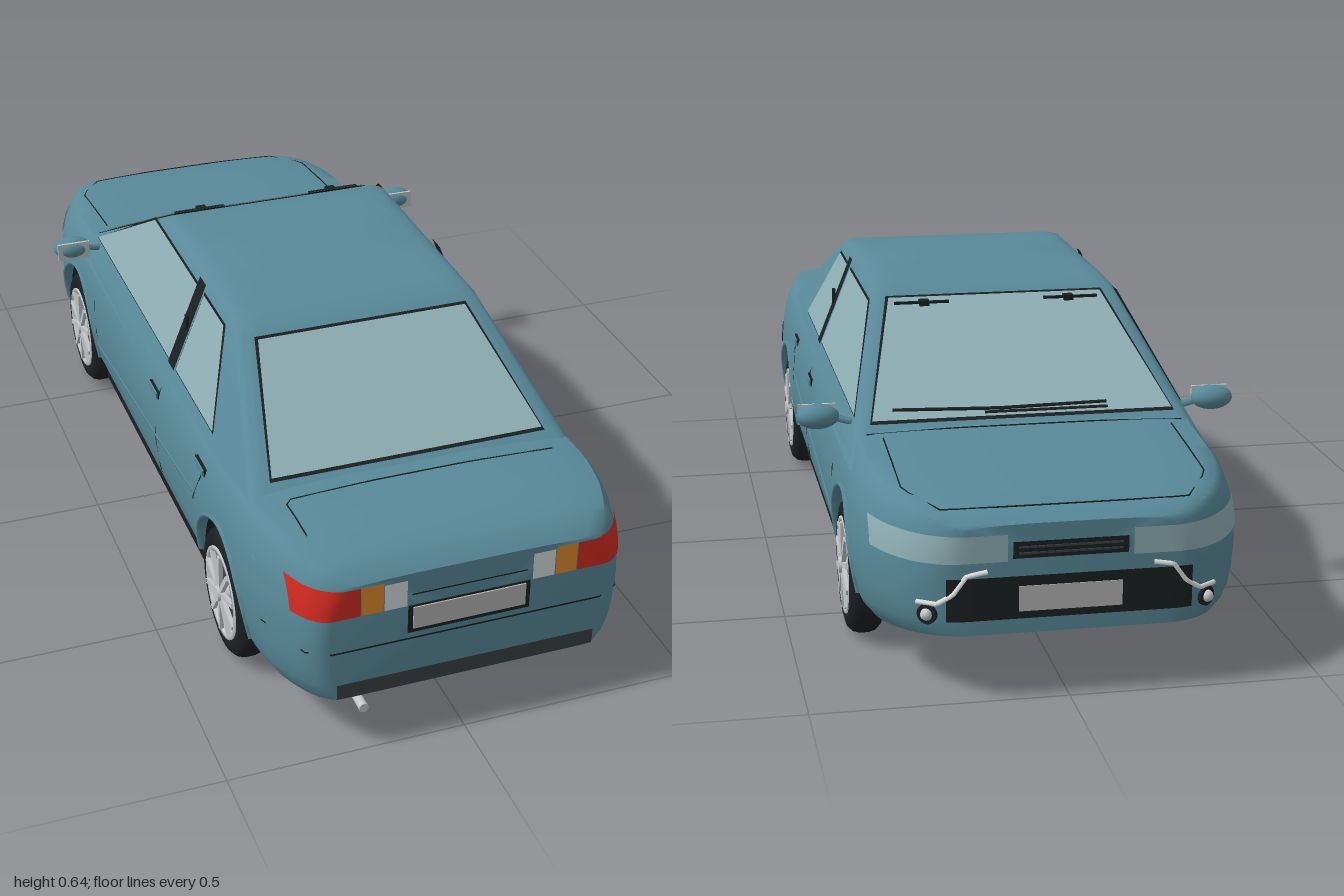
import * as THREE from 'three';
import { toCreasedNormals } from 'three/addons/utils/BufferGeometryUtils.js';

const PAINT = 0x588999, GLASS = 0x8fb0b5, BLACK = 0x1c2022, DARK = 0x3c4144, SILVER = 0xc4c8ca;
const END = 0.995, ARCH_Y = 0.145, ARCH_R = 0.165, AXLES = [-0.59, 0.6];
const V = (x, y, z) => new THREE.Vector3(x, y, z);

function add(parent, name, geo, color, double = false) {
  const mat = new THREE.MeshStandardMaterial({ color, side: double ? THREE.DoubleSide : THREE.FrontSide });
  const mesh = new THREE.Mesh(geo, mat);
  mesh.name = name;
  parent.add(mesh);
  return mesh;
}
function box(parent, name, size, pos, color) {
  const mesh = add(parent, name, new THREE.BoxGeometry(...size), color);
  mesh.position.set(...pos);
  return mesh;
}
// piecewise linear lookup in [[x, y], ...]
function lerpTable(t, x) {
  if (x <= t[0][0]) return t[0][1];
  for (let i = 1; i < t.length; i++)
    if (x <= t[i][0]) return THREE.MathUtils.mapLinear(x, t[i - 1][0], t[i][0], t[i - 1][1], t[i][1]);
  return t[t.length - 1][1];
}
// skin closed rings (counter-clockwise seen from the far end) and cap both ends
function loft(rings, crease) {
  const n = rings[0].length, pos = rings.flat().flatMap(p => p.toArray()), idx = [];
  for (let i = 0; i < rings.length - 1; i++) for (let j = 0; j < n; j++) {
    const k = (j + 1) % n, a = i * n + j, b = i * n + k;
    idx.push(a, b, b + n, a, b + n, a + n);
  }
  for (const [r, flip] of [[0, true], [rings.length - 1, false]]) {
    const c = pos.length / 3, mid = V(0, 0, 0);
    rings[r].forEach(p => mid.addScaledVector(p, 1 / n));
    pos.push(...mid.toArray());
    for (let j = 0; j < n; j++) {
      const a = r * n + j, b = r * n + (j + 1) % n;
      idx.push(c, flip ? b : a, flip ? a : b);
    }
  }
  const g = new THREE.BufferGeometry();
  g.setAttribute('position', new THREE.Float32BufferAttribute(pos, 3));
  g.setIndex(idx);
  return toCreasedNormals(g, crease);
}
// flat convex panel
function panel(points) {
  const g = new THREE.BufferGeometry().setFromPoints(points), idx = [];
  for (let i = 1; i < points.length - 1; i++) idx.push(0, i, i + 1);
  g.setIndex(idx);
  g.computeVertexNormals();
  return g;
}
const line = (pts, r = 0.0016) =>
  new THREE.TubeGeometry(new THREE.CatmullRomCurve3(pts, false, 'catmullrom', 0), pts.length * 4, r, 5);

// ---- lower body surface: plan width, top line, bottom line, section shape
const TOP = [[-END, 0.352], [-0.96, 0.37], [-0.9, 0.384], [-0.8, 0.396], [-0.6, 0.415], [-0.5, 0.425], [0.5, 0.43],
  [0.7, 0.44], [0.8, 0.449], [0.88, 0.449], [0.94, 0.438], [0.97, 0.425], [END, 0.403]];
const BOTTOM = [[-END, 0.135], [-0.8, 0.105], [-0.7, 0.1], [0.75, 0.1], [0.85, 0.105], [END, 0.135]];
const SECTION = [[0, 0.9], [0.07, 0.945], [0.14, 0.97], [0.28, 0.99], [0.45, 1], [0.58, 0.995], [0.68, 0.985], [0.78, 0.968],
  [0.86, 0.945], [0.92, 0.92], [0.97, 0.885], [0.985, 0.8], [0.995, 0.6], [1, 0.35], [1.0001, 0]];
const top = z => lerpTable(TOP, z), bottom = z => lerpTable(BOTTOM, z);
function plan(z) {
  const d = THREE.MathUtils.clamp((Math.abs(z) - 0.7) / (END - 0.7), 0, 1);
  return 0.388 - (z < 0 ? 0.18 : 0.1) * (1 - Math.sqrt(1 - d * d));
}
const halfWidth = (z, y) => plan(z) * lerpTable(SECTION, (y - bottom(z)) / (top(z) - bottom(z)));
function lowerEdge(z) {
  for (const c of AXLES) {
    const d = Math.abs(z - c);
    if (d <= ARCH_R) return ARCH_Y + Math.sqrt(ARCH_R * ARCH_R - d * d);
  }
  return bottom(z);
}
// z of the nose (end -1) or tail (end 1) surface at a given x, y
function endZ(x, y, end) {
  let lo = 0.7, hi = END;
  if (halfWidth(end * hi, y) >= x) return end * hi;
  for (let i = 0; i < 24; i++) {
    const m = (lo + hi) / 2;
    if (halfWidth(end * m, y) > x) lo = m; else hi = m;
  }
  return end * lo;
}
function topY(x, z) {
  const k = Math.abs(x) / plan(z);
  const rev = SECTION.slice(8).map(([v, s]) => [s, v]).reverse();
  return bottom(z) + (top(z) - bottom(z)) * lerpTable(rev, k);
}
function bodyGeometry() {
  const zs = [];
  for (let i = 0; i <= 14; i++) {
    const z = 0.7 + (END - 0.7) * Math.sin(i / 14 * Math.PI / 2);
    zs.push(z, -z);
  }
  for (const c of AXLES) {
    for (let i = 0; i <= 20; i++) zs.push(c - ARCH_R * Math.cos(i / 20 * Math.PI) * 0.99999);
    zs.push(c - ARCH_R - 0.001, c + ARCH_R + 0.001);
  }
  for (let i = -3; i <= 3; i++) zs.push(i * 0.12);
  return loft(zs.sort((a, b) => a - b).map(z => {
    const b = bottom(z), t = top(z), edge = lowerEdge(z);
    const half = SECTION.map(([v]) => {
      const y = Math.max(b + (t - b) * v, edge);
      return V(halfWidth(z, y), y, z);
    });
    const last = half.pop();
    const mirror = half.map(p => V(-p.x, p.y, p.z)).reverse();
    return [V(0, edge, z), ...half, V(0, last.y, z), ...mirror];
  }), 0.7);
}
// patch that follows the nose or tail
function endPatch(x0, x1, y0, y1, end, eps = 0.003) {
  const g = new THREE.PlaneGeometry(1, 1, 16, 4), p = g.attributes.position;
  for (let i = 0; i < p.count; i++) {
    const x = THREE.MathUtils.lerp(x0, x1, p.getX(i) + 0.5), y = THREE.MathUtils.lerp(y0, y1, p.getY(i) + 0.5);
    p.setXYZ(i, x + Math.sign(x) * eps * Math.min(1, Math.abs(x) * 4), y, endZ(Math.abs(x), y, end) + end * eps);
  }
  g.computeVertexNormals();
  return g;
}
// line on the flank through [z, y] points
const sideLine = (s, pts, r) => line(pts.map(([z, y]) => V(s * (halfWidth(z, y) + 0.0005), y, z)), r);
const topLine = pts => line(pts.map(([x, z]) => V(x, topY(x, z) + 0.001, z)));

// ---- cabin: straight sides leaning inwards
const cabinX = y => 0.35 - 0.4 * (y - 0.42);
const frontZ = y => -0.555 + 1.775 * (y - 0.42), backZ = y => 0.72 - 1.7 * (y - 0.42);
function cabinGeometry() {
  const levels = [[0.36], [0.45], [0.54], [0.615]].map(([y]) => [y, frontZ(y), backZ(y), cabinX(y), 0.03]);
  levels.push([0.63, -0.175, 0.365, 0.26, 0.04], [0.638, -0.13, 0.31, 0.248, 0.05],
    [0.644, -0.04, 0.21, 0.225, 0.06], [0.646, 0.03, 0.15, 0.12, 0.04]);
  return loft(levels.map(([y, zf, zb, w, r]) => {
    const ring = [];
    [[1, 1], [1, -1], [-1, -1], [-1, 1]].forEach(([sx, sz], q) => {
      for (let i = 0; i <= 5; i++) {
        const a = (q + i / 5) * Math.PI / 2;
        ring.push(V(sx * (w - r) + r * Math.sin(a), y, (sz > 0 ? zb - r : zf + r) + r * Math.cos(a)));
      }
    });
    return ring;
  }), 0.6);
}
// pane with a slightly larger black seal behind it; place(a, y, gap) lays it on the cabin
function pane(parent, name, pts, place) {
  const ca = pts.reduce((s, p) => s + p[0], 0) / pts.length, cy = pts.reduce((s, p) => s + p[1], 0) / pts.length;
  const grow = ([a, y]) => place(a + Math.sign(a - ca) * 0.005, y + Math.sign(y - cy) * 0.004, 0.0015);
  add(parent, name + 'Seal', panel(pts.map(grow)), BLACK, true);
  add(parent, name, panel(pts.map(([a, y]) => place(a, y, 0.0035))), GLASS, true);
}
function wheel() {
  const g = new THREE.Group();
  g.name = 'wheel';
  const lathe = pts => new THREE.LatheGeometry(pts.map(p => new THREE.Vector2(...p)), 40);
  add(g, 'tyre', lathe([[0.095, -0.03], [0.11, -0.036], [0.127, -0.032], [0.137, -0.022], [0.141, -0.008], [0.141, 0.008],
    [0.137, 0.022], [0.127, 0.032], [0.11, 0.036], [0.095, 0.03]]), BLACK, true);
  add(g, 'rim', lathe([[0.09, -0.03], [0.098, -0.032], [0.09, -0.02], [0.088, 0.02], [0.09, 0.036], [0.1, 0.036], [0.1, 0.03]]), SILVER, true);
  add(g, 'brakeDisc', new THREE.CylinderGeometry(0.089, 0.089, 0.012, 32), DARK);
  add(g, 'innerHub', new THREE.CylinderGeometry(0.05, 0.07, 0.02, 24), SILVER).position.y = -0.015;
  add(g, 'hub', new THREE.CylinderGeometry(0.016, 0.022, 0.03, 20), SILVER).position.y = 0.03;
  for (let i = 0; i < 10; i++) {
    const a = i / 10 * Math.PI * 2;
    const spoke = box(g, 'spoke', [0.078, 0.009, 0.011], [0.053 * Math.cos(a), 0.035, -0.053 * Math.sin(a)], SILVER);
    spoke.rotation.y = a;
  }
  return g;
}

export function createModel() {
  const car = new THREE.Group();
  car.name = 'car';
  add(car, 'lowerBody', bodyGeometry(), PAINT);
  add(car, 'cabin', cabinGeometry(), PAINT);
  pane(car, 'windscreen', [[-0.315, 0.428], [0.315, 0.428], [0.235, 0.61], [-0.235, 0.61]], (x, y, e) => V(x, y + e, frontZ(y) - e));
  pane(car, 'rearWindow', [[-0.295, 0.45], [0.295, 0.45], [0.232, 0.61], [-0.232, 0.61]], (x, y, e) => V(x, y + e, backZ(y) + e));

  for (const s of [1, -1]) {
    const onSide = (z, y, e) => V(s * (cabinX(y) + e), y, z);
    pane(car, 'frontSideWindow', [[0.118, 0.435], [-0.505, 0.435], [-0.215, 0.607], [0.118, 0.607]], onSide);
    pane(car, 'rearSideWindow', [[0.17, 0.435], [0.44, 0.435], [0.31, 0.607], [0.17, 0.607]], onSide);
    add(car, 'doorPillar', panel([[0.122, 0.43], [0.165, 0.43], [0.165, 0.628], [0.122, 0.628]].map(([z, y]) => onSide(z, y, 0.005))), BLACK, true);
    box(car, 'pillarTrim', [0.007, 0.055, 0.012], [s * 0.313, 0.527, 0.15], BLACK);
    box(car, 'sill', [0.05, 0.025, 0.83], [s * 0.338, 0.102, 0], BLACK);

    // flank seams, crease and handles
    add(car, 'beltLine', sideLine(s, [[-0.5, 0.412], [0, 0.418], [0.5, 0.418]]), BLACK);
    add(car, 'doorSeam', sideLine(s, [[0.13, 0.415], [0.13, 0.36], [0.13, 0.25], [0.135, 0.16], [0.14, 0.12]]), BLACK);
    add(car, 'frontDoorSeam', sideLine(s, [[-0.44, 0.405], [-0.42, 0.3], [-0.41, 0.22], [-0.4, 0.12]]), BLACK);
    add(car, 'rearDoorSeam', sideLine(s, [[0.46, 0.41], [0.455, 0.34], [0.42, 0.27], [0.41, 0.12]]), BLACK);
    add(car, 'doorCrease', sideLine(s, [[0.42, 0.285], [0.1, 0.25], [-0.2, 0.217], [-0.41, 0.19]], 0.003), PAINT);
    for (const [z, y] of [[0.445, 0.36], [0.1, 0.35]]) {
      box(car, 'handleRecess', [0.006, 0.018, 0.064], [s * halfWidth(z, y), y, z], BLACK);
      box(car, 'doorHandle', [0.014, 0.012, 0.058], [s * halfWidth(z, y), y, z], PAINT);
    }

    // wheels, arches and wells
    for (const c of AXLES) {
      const rim = [];
      for (let i = 0; i <= 16; i++) {
        const a = i / 16 * Math.PI;
        rim.push([c + ARCH_R * Math.cos(a), ARCH_Y + ARCH_R * Math.sin(a)]);
      }
      add(car, 'archLip', sideLine(s, rim, 0.006), PAINT);
      const liner = add(car, 'archLiner', new THREE.CylinderGeometry(0.163, 0.163, 0.085, 28, 1, true, 0, Math.PI), BLACK, true);
      liner.rotation.z = Math.PI / 2;
      liner.position.set(s * 0.325, ARCH_Y, c);
      const wall = add(car, 'wellWall', new THREE.CircleGeometry(0.163, 28, 0, Math.PI), BLACK, true);
      wall.rotation.y = Math.PI / 2;
      wall.position.set(s * 0.287, ARCH_Y, c);
      const w = wheel();
      w.rotation.z = -s * Math.PI / 2;
      w.position.set(s * 0.35, 0.143, c);
      car.add(w);
    }

    // door mirrors
    const shell = add(car, 'mirrorShell', new THREE.SphereGeometry(1, 20, 12), PAINT);
    shell.scale.set(0.045, 0.026, 0.03);
    shell.position.set(s * 0.42, 0.43, -0.482);
    box(car, 'mirrorGlass', [0.078, 0.042, 0.006], [s * 0.42, 0.43, -0.462], 0xb8c6c8);
    add(car, 'mirrorStalk', line([V(s * 0.335, 0.415, -0.49), V(s * 0.365, 0.42, -0.485), V(s * 0.39, 0.427, -0.48)], 0.008), PAINT);

    // lamps
    add(car, 'tailLamp', endPatch(s * 0.224, s * 0.345, 0.33, 0.395, 1), 0xd02a20, true);
    add(car, 'turnLamp', endPatch(s * 0.178, s * 0.222, 0.33, 0.395, 1), 0xe08a2c, true);
    add(car, 'reverseLamp', endPatch(s * 0.13, s * 0.176, 0.33, 0.39, 1), 0xd8dee0, true);
    add(car, 'headLamp', endPatch(s * 0.12, s * 0.36, 0.28, 0.333, -1), GLASS, true);
    const fog = add(car, 'fogLamp', new THREE.CylinderGeometry(0.02, 0.02, 0.012, 20), BLACK);
    fog.rotation.set(Math.PI / 2, 0, s * 0.6);
    fog.position.set(s * 0.27, 0.178, endZ(0.27, 0.178, -1));
    const lens = add(car, 'fogLens', new THREE.SphereGeometry(0.012, 14, 10), SILVER);
    lens.position.set(s * 0.273, 0.178, endZ(0.27, 0.178, -1) - 0.005);
    const trim = [[0.29, 0.2], [0.255, 0.2], [0.225, 0.22], [0.2, 0.255], [0.16, 0.262]];
    add(car, 'chromeTrim', line(trim.map(([x, y]) => V(s * x, y, endZ(x, y, -1) - 0.003)), 0.005), 0xe2e6e8);

    // parts on the windscreen
    box(car, 'screenMount', [0.12, 0.006, 0.008], [s * 0.165, 0.604, -0.238], BLACK);
    box(car, 'screenMountFoot', [0.022, 0.012, 0.022], [s * 0.16, 0.604, -0.238], BLACK);
  }
  box(car, 'floor', [0.57, 0.2, 1.56], [0, 0.201, 0], PAINT);
  add(car, 'wiper', line([V(-0.18, 0.444, -0.523), V(0.05, 0.442, -0.528), V(0.27, 0.446, -0.52)], 0.004), BLACK);
  add(car, 'shortWiper', line([V(-0.18, 0.436, -0.535), V(0.08, 0.436, -0.535)], 0.004), BLACK);

  // bonnet and boot seams
  add(car, 'bonnetSeam', topLine([[-0.3, -0.6], [-0.3, -0.72], [-0.3, -0.85], [-0.24, -0.945], [-0.1, -0.952], [0.1, -0.952],
    [0.24, -0.945], [0.3, -0.85], [0.3, -0.72], [0.3, -0.6]]), BLACK);
  add(car, 'cowlSeam', topLine([[-0.33, -0.57], [-0.15, -0.575], [0.15, -0.575], [0.33, -0.57]]), BLACK);
  add(car, 'bootSeam', topLine([[-0.29, 0.87], [-0.29, 0.8], [-0.29, 0.735], [-0.1, 0.73], [0.1, 0.73], [0.29, 0.735]]), BLACK);
  const cap = [];
  for (let i = 0; i <= 20; i++) cap.push([0.79 + 0.025 * Math.cos(i * Math.PI / 10), 0.3 + 0.025 * Math.sin(i * Math.PI / 10)]);
  add(car, 'fuelCap', sideLine(1, cap), BLACK);

  // tail
  add(car, 'bumperSeam', endPatch(-0.375, 0.375, 0.248, 0.252, 1, 0.002), BLACK, true);
  add(car, 'bootEdge', endPatch(-0.12, 0.12, 0.353, 0.356, 1, 0.002), BLACK, true);
  add(car, 'diffuser', endPatch(-0.27, 0.27, 0.138, 0.173, 1), DARK, true);
  box(car, 'rearPlateFrame', [0.256, 0.064, 0.006], [0, 0.296, 0.994], BLACK);
  box(car, 'rearPlate', [0.236, 0.05, 0.006], [0, 0.299, 0.997], 0xb4b4b4);
  const pipe = add(car, 'exhaust', new THREE.CylinderGeometry(0.01, 0.01, 0.16, 16), SILVER);
  pipe.rotation.x = Math.PI / 2;
  pipe.position.set(-0.215, 0.1, 0.915);

  // nose
  add(car, 'upperGrille', endPatch(-0.11, 0.11, 0.285, 0.318, -1), BLACK, true);
  for (const y of [0.295, 0.307]) box(car, 'grilleBar', [0.2, 0.004, 0.006], [0, y, -0.997], DARK);
  add(car, 'lowerGrille', endPatch(-0.235, 0.235, 0.165, 0.25, -1), BLACK, true);
  box(car, 'frontPlate', [0.2, 0.05, 0.006], [0, 0.205, -0.997], 0xb4b4b4);
  return car;
}
